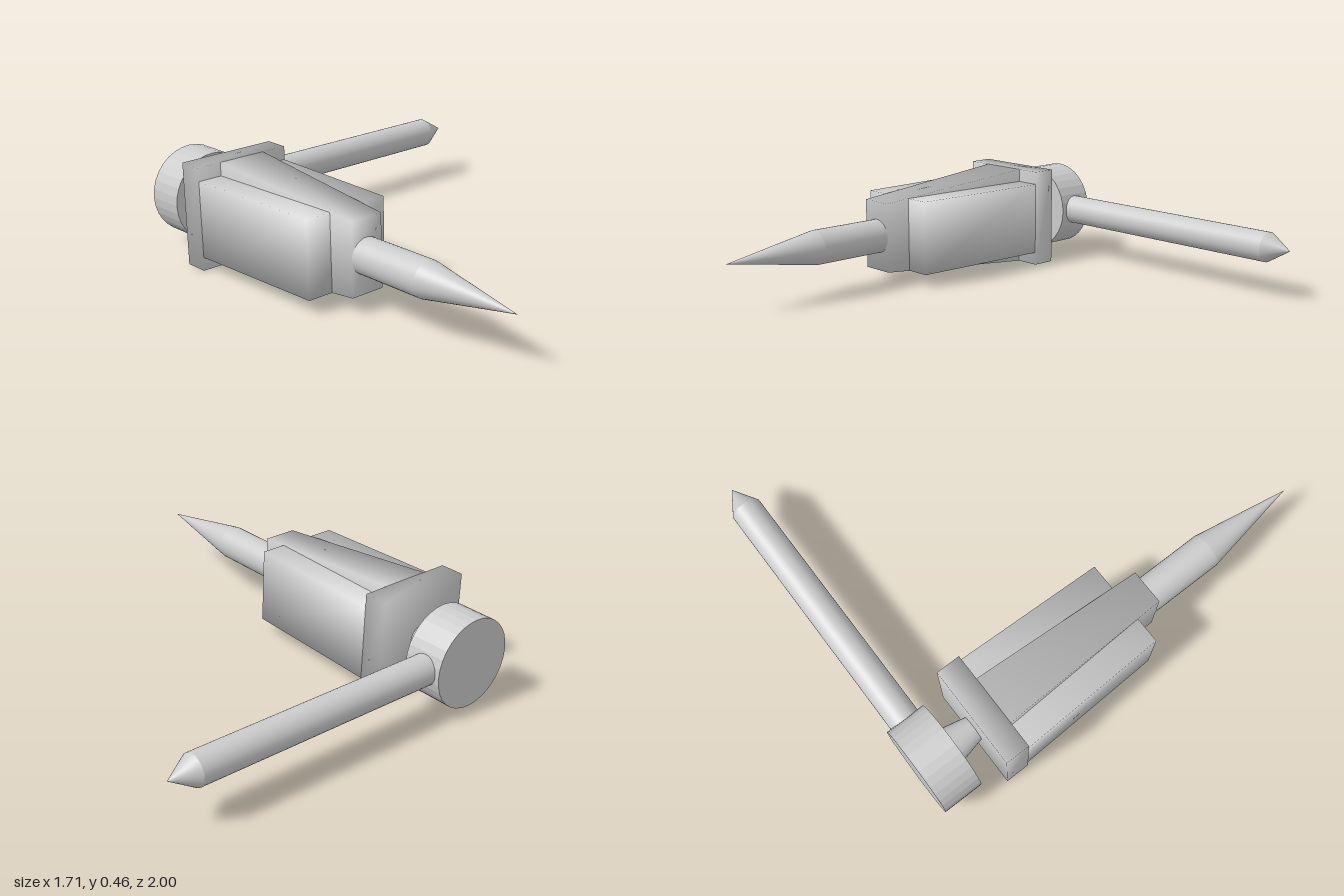
import * as THREE from 'three';
import { mergeVertices } from 'three/addons/utils/BufferGeometryUtils.js';

const CX = -0.63, CY = 0.23; // main axis, running along z

export function createModel() {
  const group = new THREE.Group();
  const smooth = new THREE.MeshStandardMaterial({ color: 0xcccccc });
  const faceted = new THREE.MeshStandardMaterial({ color: 0xcccccc, flatShading: true });

  function add(name, geometry, material = smooth) {
    const mesh = new THREE.Mesh(geometry, material);
    mesh.name = name;
    group.add(mesh);
  }

  // Round part on the main axis, from zBack to zFront
  function round(name, zBack, zFront, rBack, rFront, material) {
    const g = new THREE.CylinderGeometry(rFront, rBack, zFront - zBack, 32);
    g.rotateX(Math.PI / 2);
    g.translate(CX, CY, (zBack + zFront) / 2);
    add(name, g, material);
  }

  // Tapered block with soft shading; half sizes [x, y] at the back and front
  function block(name, zBack, zFront, back, front) {
    let g = new THREE.BoxGeometry(2, 2, 2);
    const p = g.attributes.position;
    for (let i = 0; i < p.count; i++) {
      const atFront = p.getZ(i) > 0;
      const [hx, hy] = atFront ? front : back;
      p.setXYZ(i, CX + p.getX(i) * hx, CY + p.getY(i) * hy, atFront ? zFront : zBack);
    }
    g.deleteAttribute('normal');
    g.deleteAttribute('uv');
    g = mergeVertices(g);
    g.computeVertexNormals();
    add(name, g);
  }

  // Pointed spike at the front
  round('spikeTip', 0.545, 1, 0.078, 0);
  round('spikeShaft', 0.18, 0.545, 0.078, 0.078);

  // Body of two crossed tapered blocks, closed by a square plate
  block('uprightBlock', -0.6, 0.2, [0.112, 0.23], [0.078, 0.16]);
  block('wideBlock', -0.6, 0.08, [0.225, 0.17], [0.2, 0.17]);
  block('backPlate', -0.71, -0.6, [0.228, 0.23], [0.228, 0.23]);

  // Flared neck and hub
  round('neck', -0.83, -0.7, 0.083, 0.054);
  round('hub', -1, -0.82, 0.2, 0.2, faceted);

  // Side rod with a pointed end
  const rod = new THREE.CylinderGeometry(0.068, 0.068, 1.24, 32);
  rod.rotateZ(-Math.PI / 2);
  rod.translate(0.12, CY, -0.912);
  add('rod', rod);
  const tip = new THREE.ConeGeometry(0.068, 0.115, 32);
  tip.rotateZ(-Math.PI / 2);
  tip.translate(0.7975, CY, -0.912);
  add('rodTip', tip);

  return group;
}
